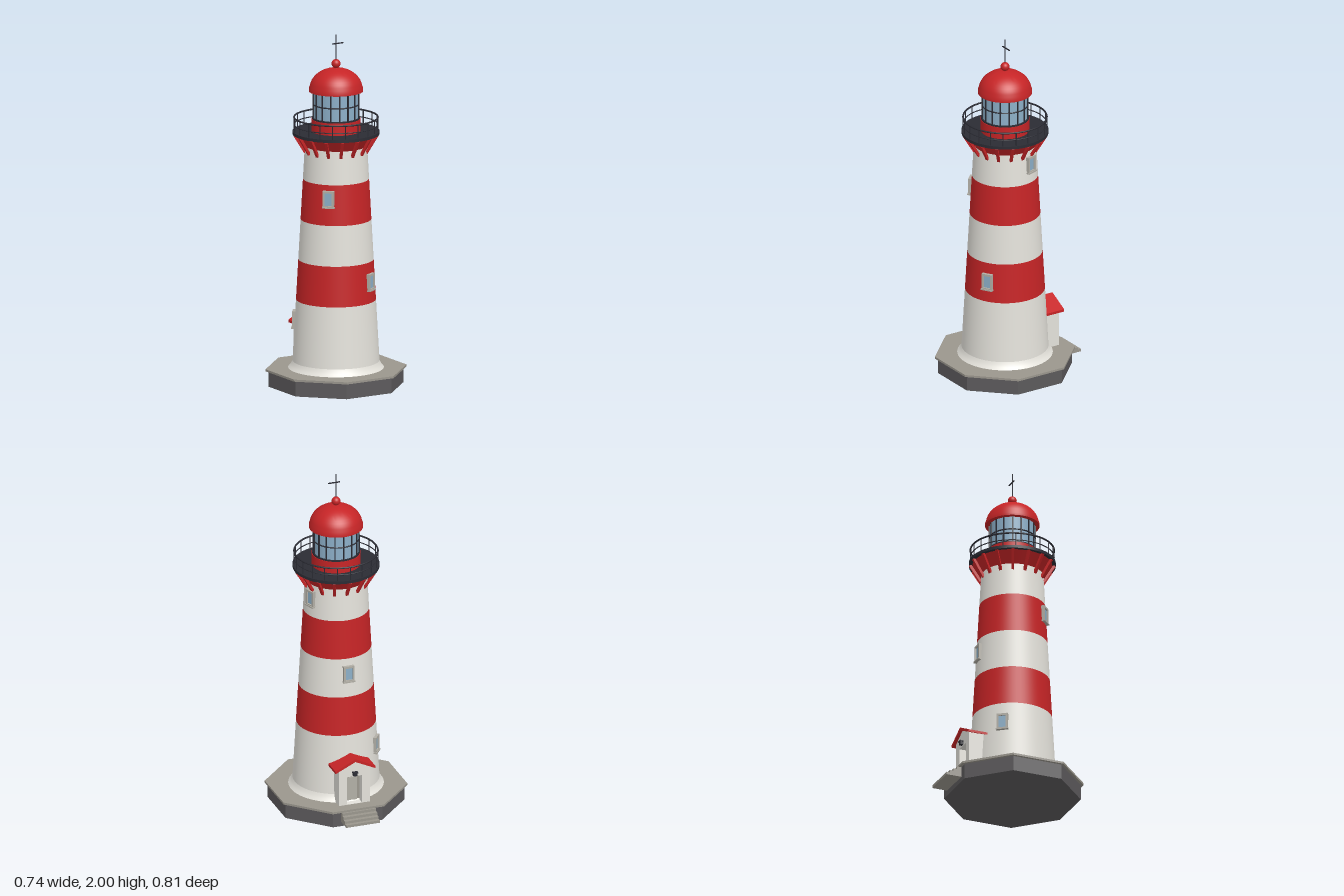
import * as THREE from 'three';
import { toCreasedNormals } from 'three/addons/utils/BufferGeometryUtils.js';

const mat = (name, color, side = THREE.FrontSide) =>
  Object.assign(new THREE.MeshStandardMaterial({ color, side }), { name });

export function createModel() {
  const white = mat('white paint', 0xe4e2db);
  const red = mat('red paint', 0xc62426, THREE.DoubleSide);
  const iron = mat('dark iron', 0x2b2c34);
  const stone = mat('pale stone', 0x9a968d);
  const plinthGrey = mat('plinth grey', 0x5c5a5c);
  const glass = mat('blue glass', 0x8cafc8);
  const frameGrey = mat('frame grey', 0xb2afa6);

  const model = new THREE.Group();
  model.name = 'lighthouse';
  // everything is built around the tower axis, which sits a little forward
  const axis = new THREE.Group();
  axis.name = 'towerAxis';
  axis.position.z = 0.038;
  model.add(axis);

  const add = (name, geo, material, x = 0, y = 0, z = 0, parent = axis) => {
    const m = new THREE.Mesh(geo, material);
    m.name = name;
    m.position.set(x, y, z);
    parent.add(m);
    return m;
  };
  const drum = (name, rBottom, rTop, y0, y1, material, open = false, sides = 64) =>
    add(name, new THREE.CylinderGeometry(rTop, rBottom, y1 - y0, sides, 1, open), material, 0, (y0 + y1) / 2);
  const ring = (name, r, y, tube, material = iron) => {
    const m = add(name, new THREE.TorusGeometry(r, tube, 8, 64), material, 0, y);
    m.rotation.x = Math.PI / 2;
  };
  // calls fn with a group turned to each of n directions; local +z points outwards
  const around = (name, n, fn) => {
    for (let i = 0; i < n; i++) {
      const g = new THREE.Group();
      g.name = name;
      g.rotation.y = (i / n) * Math.PI * 2;
      axis.add(g);
      fn(g);
    }
  };

  // octagonal plinth with overhanging slab
  const octagon = (name, apothem, y0, y1, material) => {
    const r = apothem / Math.cos(Math.PI / 8);
    const g = new THREE.CylinderGeometry(r, r, y1 - y0, 8);
    g.rotateY(Math.PI / 8);
    add(name, toCreasedNormals(g, 0.5), material, 0, (y0 + y1) / 2);
  };
  octagon('plinth', 0.353, 0, 0.088, plinthGrey);
  octagon('plinthSlab', 0.368, 0.088, 0.1, stone);

  // tapered tower in painted bands
  const radius = (y) => 0.243 - 0.056 * (y - 0.14);
  const foot = [[0.267, 0.1], [0.256, 0.113], [0.248, 0.127], [0.243, 0.14]];
  add('towerFoot', new THREE.LatheGeometry(foot.map((p) => new THREE.Vector2(...p)), 64), white);
  const bands = [0.14, 0.49, 0.72, 0.95, 1.18, 1.38];
  for (let i = 0; i < 5; i++) {
    const [a, b] = [bands[i], bands[i + 1]];
    drum('towerBand', radius(a), radius(b), a, b, i % 2 ? red : white, true);
  }

  // windows: angle from the front, height
  const frame = new THREE.Shape([[-0.032, -0.048], [0.032, -0.048], [0.032, 0.048], [-0.032, 0.048]]
    .map((p) => new THREE.Vector2(...p)));
  frame.holes.push(new THREE.Path([[-0.021, -0.036], [-0.021, 0.036], [0.021, 0.036], [0.021, -0.036]]
    .map((p) => new THREE.Vector2(...p))));
  const frameGeo = new THREE.ExtrudeGeometry(frame, { depth: 0.03, bevelEnabled: false });
  for (const [deg, y] of [[30, 0.61], [-44, 1.1], [109, 1.29], [180, 0.86], [-127, 0.37]]) {
    const w = new THREE.Group();
    w.name = 'window';
    w.rotation.y = THREE.MathUtils.degToRad(deg);
    axis.add(w);
    const r = radius(y);
    add('windowFrame', frameGeo, frameGrey, 0, y, r - 0.016, w);
    add('windowPane', new THREE.BoxGeometry(0.043, 0.073, 0.008), glass, 0, y, r + 0.002, w);
    add('windowSill', new THREE.BoxGeometry(0.07, 0.008, 0.024), frameGrey, 0, y - 0.046, r + 0.007, w);
  }

  // gallery: flared underside, slanted brackets, deck
  drum('galleryFlare', radius(1.37), 0.225, 1.37, 1.437, red, true);
  around('bracket', 16, (g) => {
    const b = add('bracketBar', new THREE.BoxGeometry(0.015, 0.118, 0.015), red, 0, 1.385, 0.205, g);
    b.rotation.x = Math.atan2(0.06, 0.1);
  });
  drum('galleryDeck', 0.243, 0.243, 1.435, 1.452, iron);

  // railing
  around('railing', 20, (g) =>
    add('railPost', new THREE.CylinderGeometry(0.003, 0.003, 0.08, 6), iron, 0, 1.49, 0.234, g));
  ring('topRail', 0.234, 1.53, 0.005);
  ring('middleRail', 0.234, 1.488, 0.003);

  // lantern room
  drum('lanternBase', 0.137, 0.137, 1.45, 1.522, red);
  drum('lanternSill', 0.134, 0.134, 1.522, 1.53, iron);
  drum('lanternGlass', 0.126, 0.126, 1.53, 1.69, glass);
  around('glazing', 16, (g) =>
    add('glazingBar', new THREE.BoxGeometry(0.007, 0.16, 0.008), iron, 0, 1.608, 0.128, g));
  ring('glazingRing', 0.127, 1.605, 0.004);

  // dome, ball and weather vane
  const dome = [[0, 1.68], [0.152, 1.68], [0.152, 1.694]];
  for (let i = 1; i <= 12; i++) {
    const t = (i / 12) * Math.PI / 2;
    dome.push([0.148 * Math.cos(t), 1.694 + 0.117 * Math.sin(t)]);
  }
  add('dome', toCreasedNormals(new THREE.LatheGeometry(dome.map(([r, y]) => new THREE.Vector2(Math.max(r, 0), y)), 64), 0.6), red);
  drum('finialNeck', 0.012, 0.009, 1.8, 1.82, red, false, 16);
  add('finialBall', new THREE.SphereGeometry(0.025, 24, 16), red, 0, 1.836);
  drum('mast', 0.003, 0.003, 1.85, 2, iron, false, 8);
  add('vaneBar', new THREE.BoxGeometry(0.07, 0.006, 0.005), iron, 0.011, 1.95, 0);

  // entrance porch at the back: gabled walls with an open doorway
  const porch = new THREE.Group();
  porch.name = 'porch';
  axis.add(porch);
  const extrude = (pts, hole, depth) => {
    const s = new THREE.Shape(pts.map((p) => new THREE.Vector2(...p)));
    if (hole) s.holes.push(new THREE.Path(hole.map((p) => new THREE.Vector2(...p))));
    return new THREE.ExtrudeGeometry(s, { depth, bevelEnabled: false });
  };
  add('porchWalls', extrude(
    [[-0.092, 0.1], [0.092, 0.1], [0.092, 0.317], [0, 0.366], [-0.092, 0.317]],
    [[-0.045, 0.101], [-0.045, 0.27], [0.045, 0.27], [0.045, 0.101]], 0.14), white, 0, 0, -0.302, porch);
  add('porchRoof', extrude(
    [[-0.118, 0.308], [0, 0.364], [0.118, 0.308], [0.118, 0.322], [0, 0.382], [-0.118, 0.322]],
    null, 0.17), red, 0, 0, -0.318, porch);
  add('doorFrame', new THREE.BoxGeometry(0.09, 0.17, 0.02), stone, 0, 0.185, -0.246, porch);
  add('door', new THREE.BoxGeometry(0.058, 0.145, 0.006), frameGrey, 0, 0.173, -0.258, porch);
  add('porchLamp', new THREE.BoxGeometry(0.022, 0.018, 0.018), iron, 0, 0.285, -0.31, porch);
  add('lampCap', new THREE.BoxGeometry(0.03, 0.006, 0.024), iron, 0, 0.297, -0.312, porch);

  // steps, nested from short and high to long and low
  [[0.378, 0.088], [0.4, 0.073], [0.422, 0.058], [0.443, 0.044]].forEach(([out, top]) => {
    const depth = out - 0.34;
    add('step', new THREE.BoxGeometry(0.2, 0.015, depth), stone, 0, top - 0.0075, -out + depth / 2);
  });

  return model;
}
